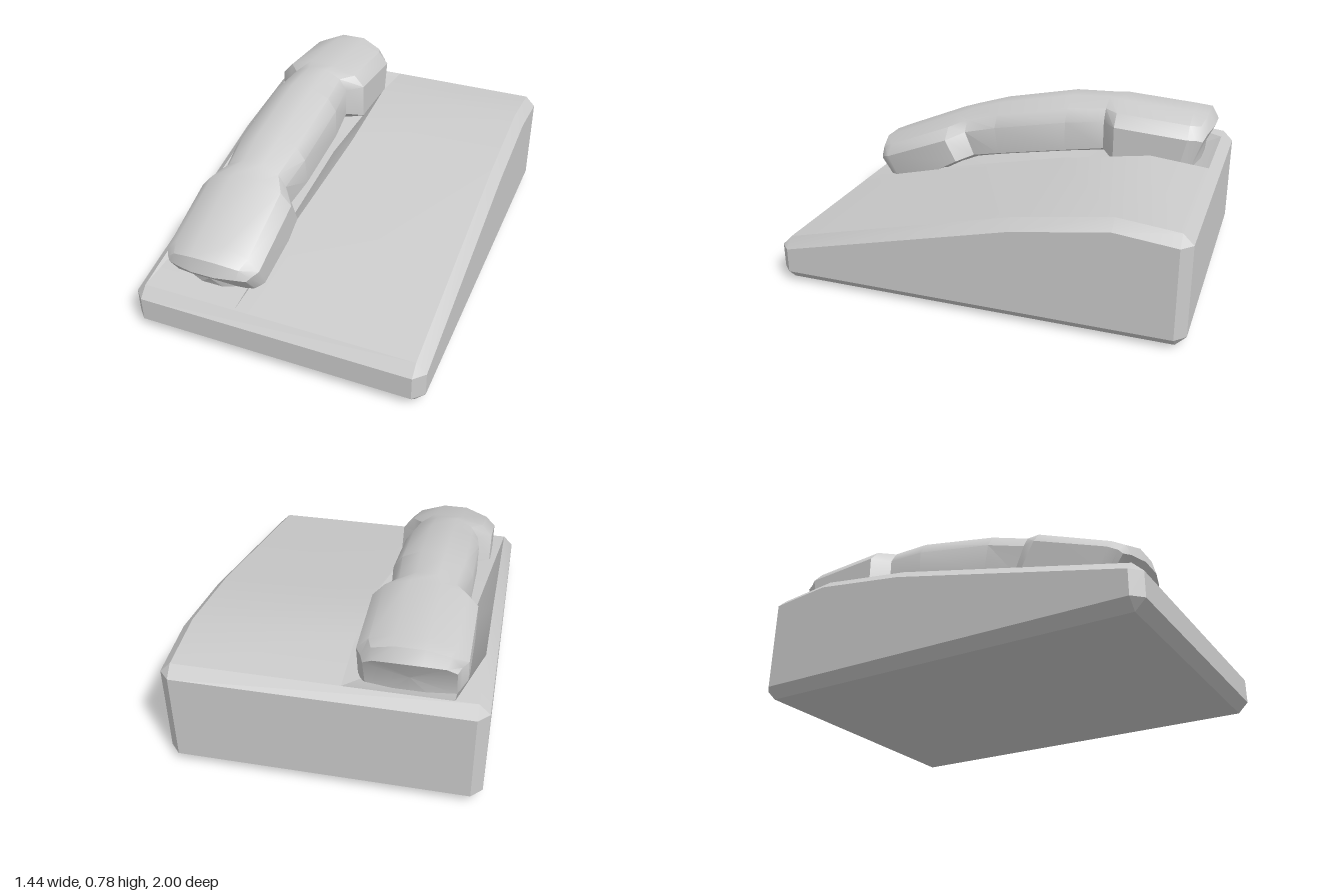
import * as THREE from 'three';
import { toCreasedNormals } from 'three/addons/utils/BufferGeometryUtils.js';

const material = new THREE.MeshStandardMaterial({ color: 0xcccccc });

// Skin a list of equal-length rings of [x, y, z]; optionally close the loop and cap either end.
function loft(rings, { closed = true, capFirst = false, capLast = false, crease = 0.5 } = {}) {
  const pos = [];
  const tri = (a, b, c) => pos.push(...a, ...b, ...c);
  const n = rings[0].length;
  for (let r = 0; r < rings.length - 1; r++) {
    const a = rings[r], b = rings[r + 1];
    for (let i = 0; i < (closed ? n : n - 1); i++) {
      const j = (i + 1) % n;
      tri(a[i], a[j], b[j]);
      tri(a[i], b[j], b[i]);
    }
  }
  const cap = (ring, flip) => {
    const c = [0, 1, 2].map(k => ring.reduce((s, p) => s + p[k], 0) / n);
    ring.forEach((p, i) => {
      const q = ring[(i + 1) % n];
      flip ? tri(c, q, p) : tri(c, p, q);
    });
  };
  if (capFirst) cap(rings[0], true);
  if (capLast) cap(rings[rings.length - 1], false);
  const g = new THREE.BufferGeometry();
  g.setAttribute('position', new THREE.Float32BufferAttribute(pos, 3));
  return toCreasedNormals(g, crease);
}

function addMesh(group, name, geometry) {
  const mesh = new THREE.Mesh(geometry, material);
  mesh.name = name;
  group.add(mesh);
}

const X = 0.67, Z = 0.95, BEVEL = 0.05;
// Rows of the sloping top, front to back: z, height, depth of the handset trough
const ROWS = [[0.95, 0.22, 0], [-0.2, 0.5, 0.1], [-0.66, 0.57, 0.17], [-0.95, 0.54, 0]];

function buildBase(group) {
  // Outline, anticlockwise from above, with bevelled corners
  const right = ROWS.map(([z, y]) => [X + BEVEL, z, y]);
  const left = ROWS.map(([z, y]) => [-X - BEVEL, z, y]).reverse();
  const front = ROWS[0][1], back = ROWS[3][1];
  const outline = [
    [-X, Z + BEVEL, front], [X, Z + BEVEL, front], ...right,
    [X, -Z - BEVEL, back], [-X, -Z - BEVEL, back], ...left,
  ];
  const inset = (x, y, z) => [THREE.MathUtils.clamp(x, -X, X), y, THREE.MathUtils.clamp(z, -Z, Z)];
  addMesh(group, 'baseShell', loft([
    outline.map(([x, z]) => inset(x, 0, z)),
    outline.map(([x, z]) => [x, BEVEL, z]),
    outline.map(([x, z, y]) => [x, y - BEVEL, z]),
    outline.map(([x, z, y]) => inset(x, y, z)),
  ], { capFirst: true }));

  // Sloping top with the trough that cradles the handset
  const columns = [[-X, 0], [-0.57, 1], [-0.2, 1], [-0.09, 0], [X, 0]];
  addMesh(group, 'topPanel', loft(
    ROWS.map(([z, y, depth]) => columns.map(([x, k]) => [x, y - k * depth, z])),
    { closed: false }));
}

function buildHandset(group) {
  // Stations front to back: z at shoulder, z at bottom, half width, top, shoulder, bottom, end bulge
  const stations = [
    [0.875, 0.79, 0.2, 0.35, 0.335, 0.21, 0.05],
    [0.86, 0.775, 0.215, 0.42, 0.35, 0.205, 0.045],
    [0.82, 0.74, 0.24, 0.455, 0.365, 0.2, 0],
    [0.47, 0.41, 0.24, 0.6, 0.5, 0.385, 0],
    [0.38, 0.33, 0.17, 0.635, 0.535, 0.41, 0],
    [0.2, 0.18, 0.19, 0.69, 0.585, 0.445, 0],
    [-0.19, -0.19, 0.19, 0.77, 0.66, 0.51, 0],
    [-0.39, -0.39, 0.165, 0.78, 0.68, 0.535, 0],
    [-0.46, -0.46, 0.24, 0.78, 0.68, 0.505, 0],
    [-0.83, -0.79, 0.24, 0.755, 0.655, 0.48, 0],
    [-0.865, -0.825, 0.215, 0.75, 0.65, 0.48, -0.045],
    [-0.9, -0.845, 0.2, 0.69, 0.64, 0.485, -0.045],
  ];
  const rings = stations.map(([zs, zb, w, top, shoulder, bottom, bulge]) => {
    const half = [
      [0.3, top, zs], [0.78, shoulder + 0.6 * (top - shoulder), zs],
      [1, shoulder, zs], [1, bottom, zb], [0.6, bottom - 0.03, zb],
    ].map(([u, y, z]) => [u * w, y, z + bulge * (1 - u * u)]);
    const mirrored = half.map(([x, y, z]) => [-x, y, z]).reverse();
    return [...half, ...mirrored];
  });
  addMesh(group, 'handset', loft(rings, { capFirst: true, capLast: true, crease: 0.6 }));
  group.getObjectByName('handset').position.x = -0.37;
}

export function createModel() {
  const group = new THREE.Group();
  group.name = 'deskTelephone';
  buildBase(group);
  buildHandset(group);
  return group;
}
